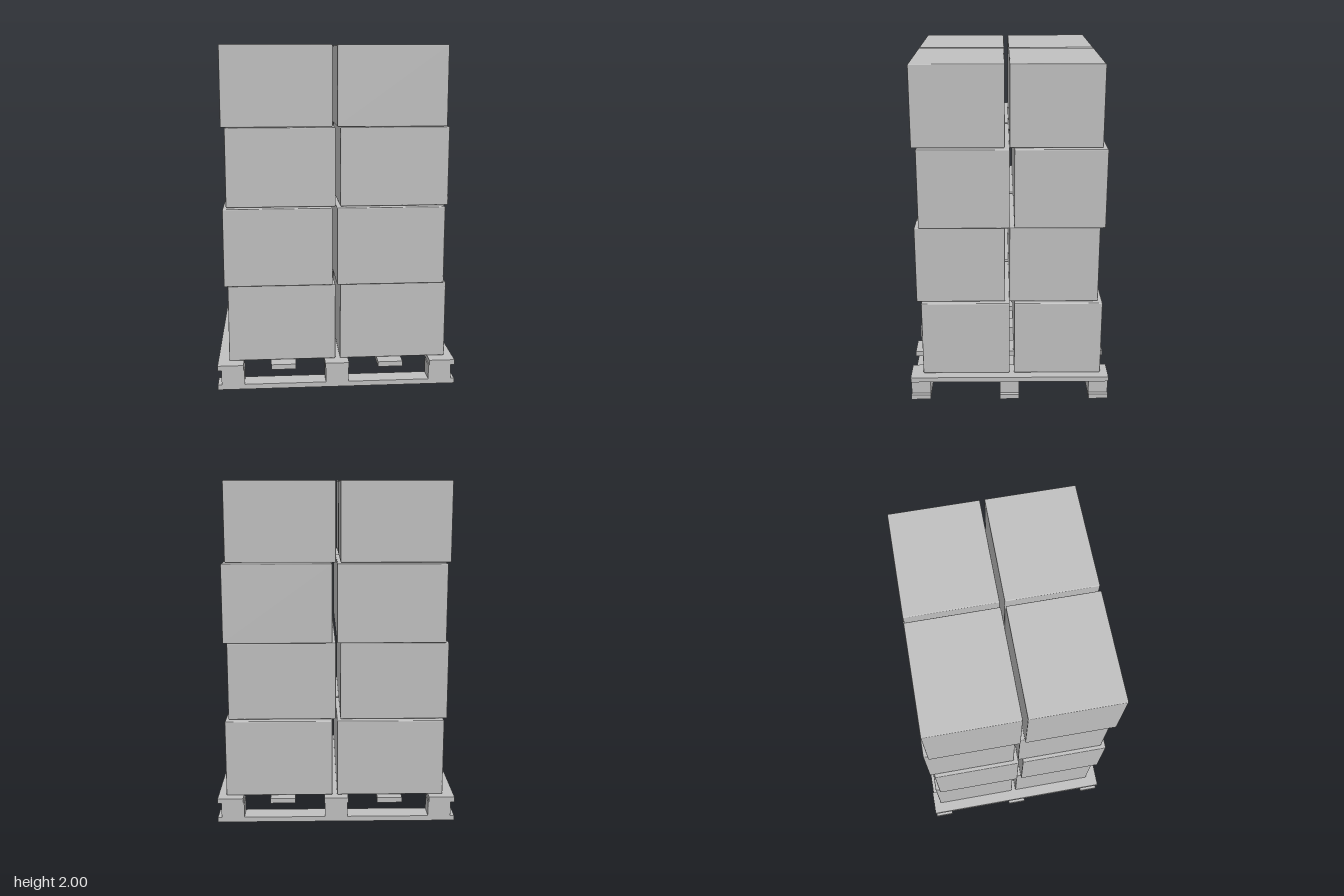
import * as THREE from 'three';
import { RoundedBoxGeometry } from 'three/addons/geometries/RoundedBoxGeometry.js';

export function createModel() {
  const model = new THREE.Group();
  model.name = 'loadedPallet';
  const grey = new THREE.MeshStandardMaterial({ color: 0xc0c0c0 });
  grey.name = 'plain grey';

  const add = (parent, name, geometry, x, y, z) => {
    const mesh = new THREE.Mesh(geometry, grey);
    mesh.name = name;
    mesh.position.set(x, y, z);
    parent.add(mesh);
  };

  // Pallet
  const pallet = new THREE.Group();
  pallet.name = 'pallet';
  model.add(pallet);

  // Three runners along x, each carrying three blocks
  const runner = new THREE.BoxGeometry(1.41, 0.03, 0.115);
  const block = new THREE.BoxGeometry(0.135, 0.087, 0.115);
  for (const z of [-0.532, 0, 0.532]) {
    add(pallet, 'runner', runner, 0, 0.015, z);
    for (const x of [-0.615, 0, 0.615]) add(pallet, 'block', block, x, 0.0735, z);
  }

  // Five deck boards along z; the outer two are a little wider
  for (const [x, width] of [[-0.629, 0.152], [-0.317, 0.147], [0, 0.142], [0.317, 0.147], [0.629, 0.152]]) {
    add(pallet, 'deckBoard', new THREE.BoxGeometry(width, 0.03, 1.18), x, 0.132, 0);
  }

  // Cartons: four layers of two by two, alternately shifted
  const carton = new RoundedBoxGeometry(0.634, 0.46, 0.518, 1, 0.006);
  for (let layer = 0; layer < 4; layer++) {
    const group = new THREE.Group();
    group.name = 'cartonLayer';
    const side = layer % 2 ? -1 : 1;
    group.position.set(0.01 * side, 0.379 + layer * 0.4637, -0.0135 * side);
    for (const x of [-0.332, 0.329])
      for (const z of [-0.272, 0.272]) add(group, 'carton', carton, x, 0, z);
    model.add(group);
  }
  return model;
}
